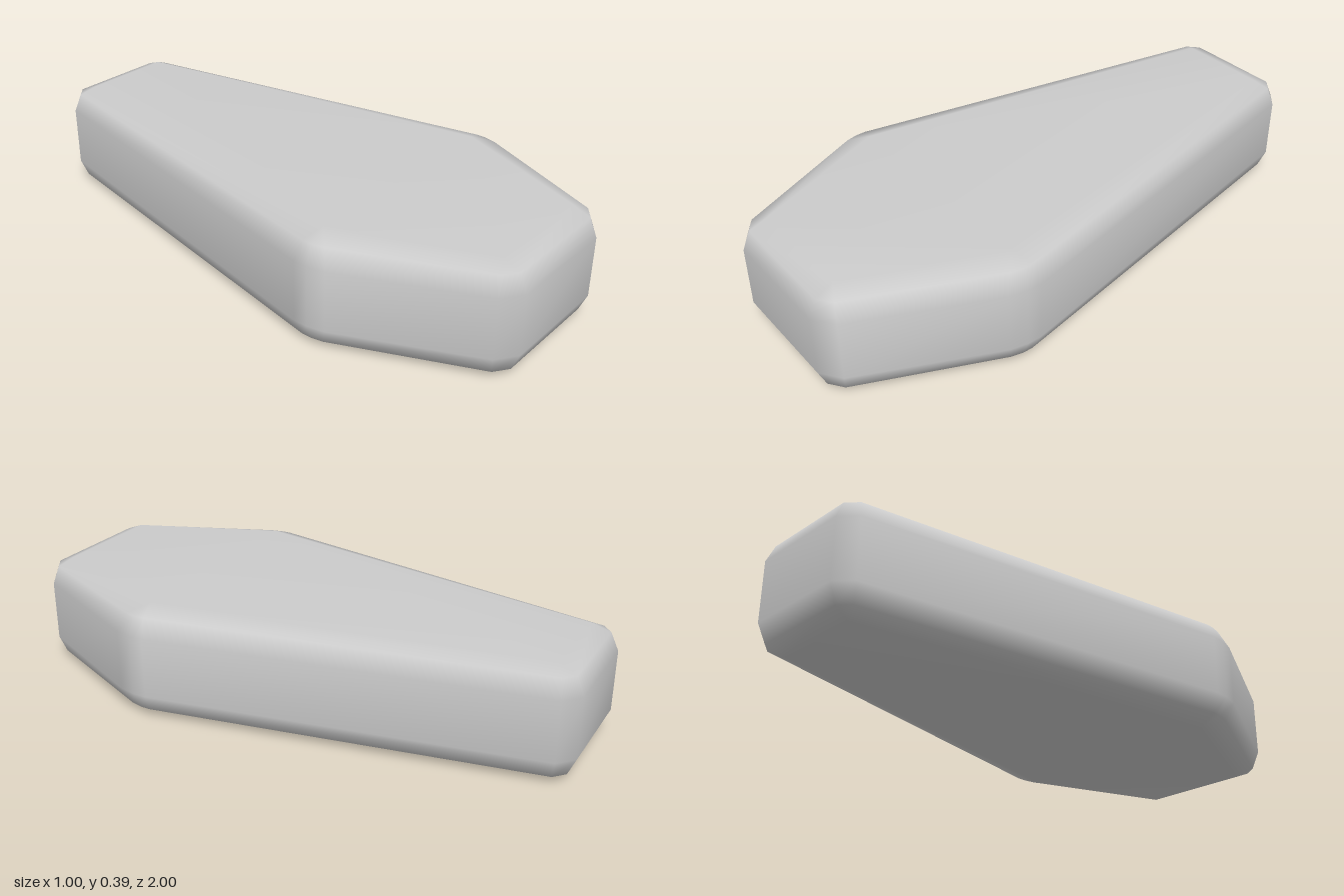
import * as THREE from 'three';
import { mergeVertices } from 'three/addons/utils/BufferGeometryUtils.js';

// Half outline from back to front: [outer x, outer z, inner corner x, inner corner z]
const half = [
  [0.18, -1, 0.16, -0.91], [0.235, -0.95, 0.16, -0.91],
  [0.5, 0.38, 0.4, 0.41], [0.5, 0.43, 0.4, 0.41], [0.487, 0.49, 0.4, 0.41],
  [0.275, 0.95, 0.2, 0.91], [0.205, 1, 0.2, 0.91],
];
// Rounded edge profile: [height, share of the way from inner corner to outer outline]
const profile = [[0, 0], [0.027, 0.7], [0.09, 1], [0.303, 1], [0.365, 0.7], [0.39, 0]];

function roundedCoffinGeometry() {
  const outline = [...half, ...half.map(([x, z, cx, cz]) => [-x, z, -cx, cz]).reverse()];
  const n = outline.length;
  const positions = [];
  const index = [];

  // Stacked rings
  for (const [y, t] of profile) {
    for (const [x, z, cx, cz] of outline) positions.push(cx + (x - cx) * t, y, cz + (z - cz) * t);
  }
  // Walls between neighbouring rings
  for (let i = 0; i < profile.length - 1; i++) {
    for (let j = 0; j < n; j++) {
      const a = i * n + j, b = i * n + (j + 1) % n;
      index.push(a, a + n, b, b, a + n, b + n);
    }
  }
  // Flat top and bottom, bridged from side to side
  const top = (profile.length - 1) * n;
  for (let k = 0; k < half.length - 1; k++) {
    const r = k, r2 = k + 1, l = n - 1 - k, l2 = n - 2 - k;
    index.push(top + r, top + l, top + l2, top + r, top + l2, top + r2);
    index.push(r, l2, l, r, r2, l2);
  }

  const raw = new THREE.BufferGeometry();
  raw.setAttribute('position', new THREE.Float32BufferAttribute(positions, 3));
  raw.setIndex(index);
  // Weld the shared corners, then drop the collapsed triangles
  const geometry = mergeVertices(raw, 1e-4);
  const old = geometry.index.array, kept = [];
  for (let i = 0; i < old.length; i += 3) {
    const [a, b, c] = [old[i], old[i + 1], old[i + 2]];
    if (a !== b && b !== c && c !== a) kept.push(a, b, c);
  }
  geometry.setIndex(kept);
  geometry.computeVertexNormals();
  return geometry;
}

export function createModel() {
  const group = new THREE.Group();
  group.name = 'coffin';
  const body = new THREE.Mesh(
    roundedCoffinGeometry(),
    new THREE.MeshStandardMaterial({ color: 0xcccccc }),
  );
  body.name = 'body';
  group.add(body);
  return group;
}
